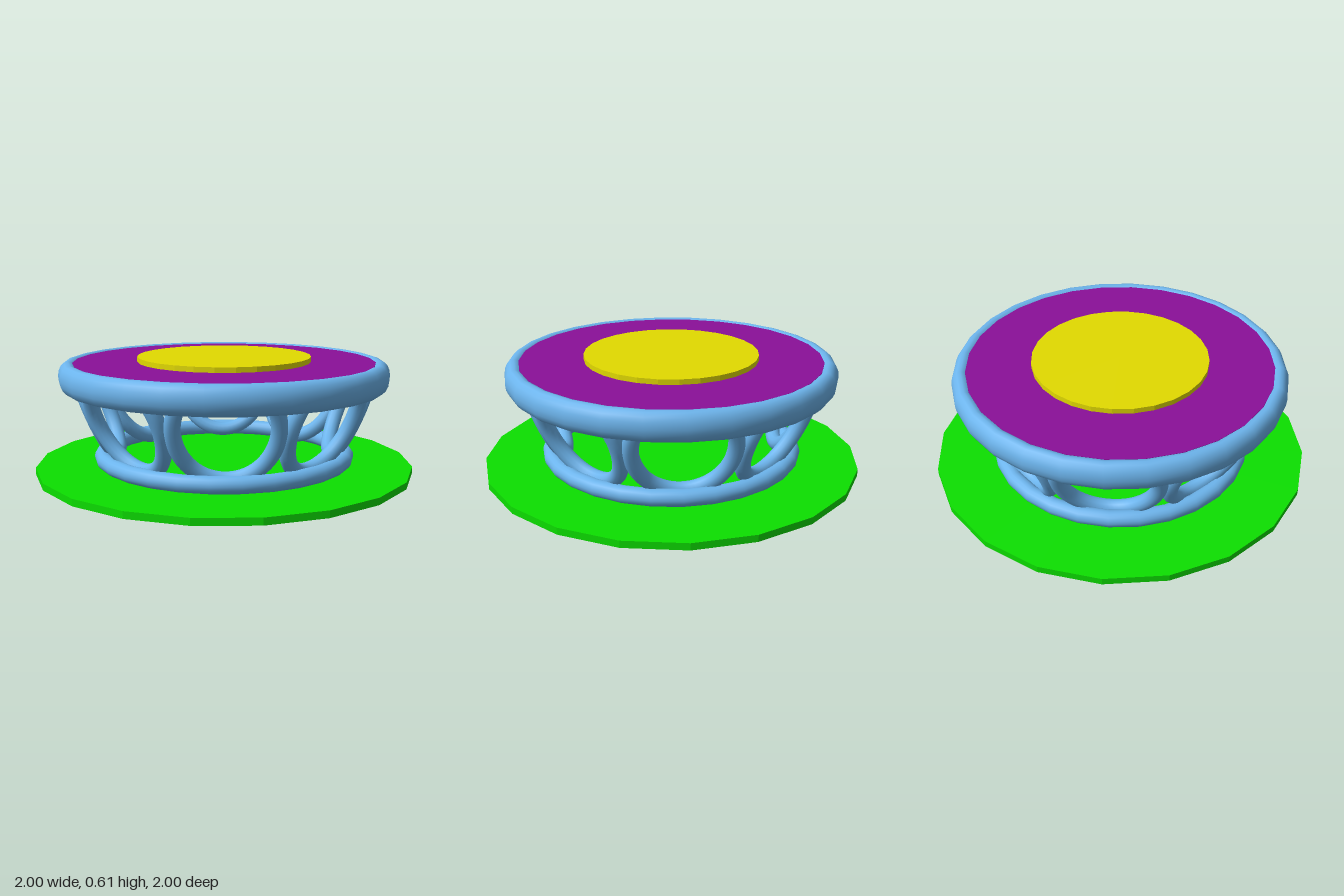
import * as THREE from 'three';

const SEGMENTS = 28;
const paint = (color, flatShading = false) => new THREE.MeshStandardMaterial({ color, flatShading });

// Flat round slab between two heights
function disc(name, radius, y0, y1, sides, material) {
  const mesh = new THREE.Mesh(new THREE.CylinderGeometry(radius, radius, y1 - y0, sides), material);
  mesh.position.y = (y0 + y1) / 2;
  mesh.name = name;
  return mesh;
}

// Horizontal ring with an oval section
function ring(name, radius, tube, halfHeight, y, material) {
  const geometry = new THREE.TorusGeometry(radius, tube, 16, SEGMENTS).rotateX(Math.PI / 2);
  geometry.scale(1, halfHeight / tube, 1);
  const mesh = new THREE.Mesh(geometry, material);
  mesh.position.y = y;
  mesh.name = name;
  return mesh;
}

export function createModel() {
  const model = new THREE.Group();
  const blue = paint(0x6cb4ec);

  // Ground slab and the two rings
  model.add(disc('base', 1, 0, 0.036, 20, paint(0x0ce000, true)));
  model.add(ring('lowerRing', 0.65, 0.043, 0.043, 0.081, blue));
  model.add(ring('upperRing', 0.818, 0.052, 0.075, 0.512, blue));

  // Table top: supporting plate, coloured surface and raised centre
  model.add(disc('topPlate', 0.795, 0.49, 0.565, SEGMENTS, paint(0x6cb4ec, true)));
  model.add(disc('topSurface', 0.795, 0.565, 0.58, SEGMENTS, paint(0x8a1098, true)));
  model.add(disc('centreDisc', 0.459, 0.58, 0.607, SEGMENTS, paint(0xe2da00, true)));

  // Oval supports, leaning outward, their open tops buried in the plate
  const points = [];
  const start = Math.PI - 0.75;
  const sweep = Math.PI + 1.5;
  for (let i = 0; i <= 20; i++) {
    const a = start + (sweep * i) / 20;
    const y = 0.35 + 0.265 * Math.sin(a);
    points.push(new THREE.Vector3(0.245 * Math.cos(a), y, 0.57 + (y - 0.085) * 0.4));
  }
  const archGeometry = new THREE.TubeGeometry(new THREE.CatmullRomCurve3(points), 48, 0.04, 12);

  const supports = new THREE.Group();
  supports.name = 'supports';
  for (let i = 0; i < 8; i++) {
    const arch = new THREE.Mesh(archGeometry, blue);
    arch.rotation.y = (i * Math.PI) / 4;
    arch.name = `supportArch${i + 1}`;
    supports.add(arch);
  }
  model.add(supports);
  return model;
}
